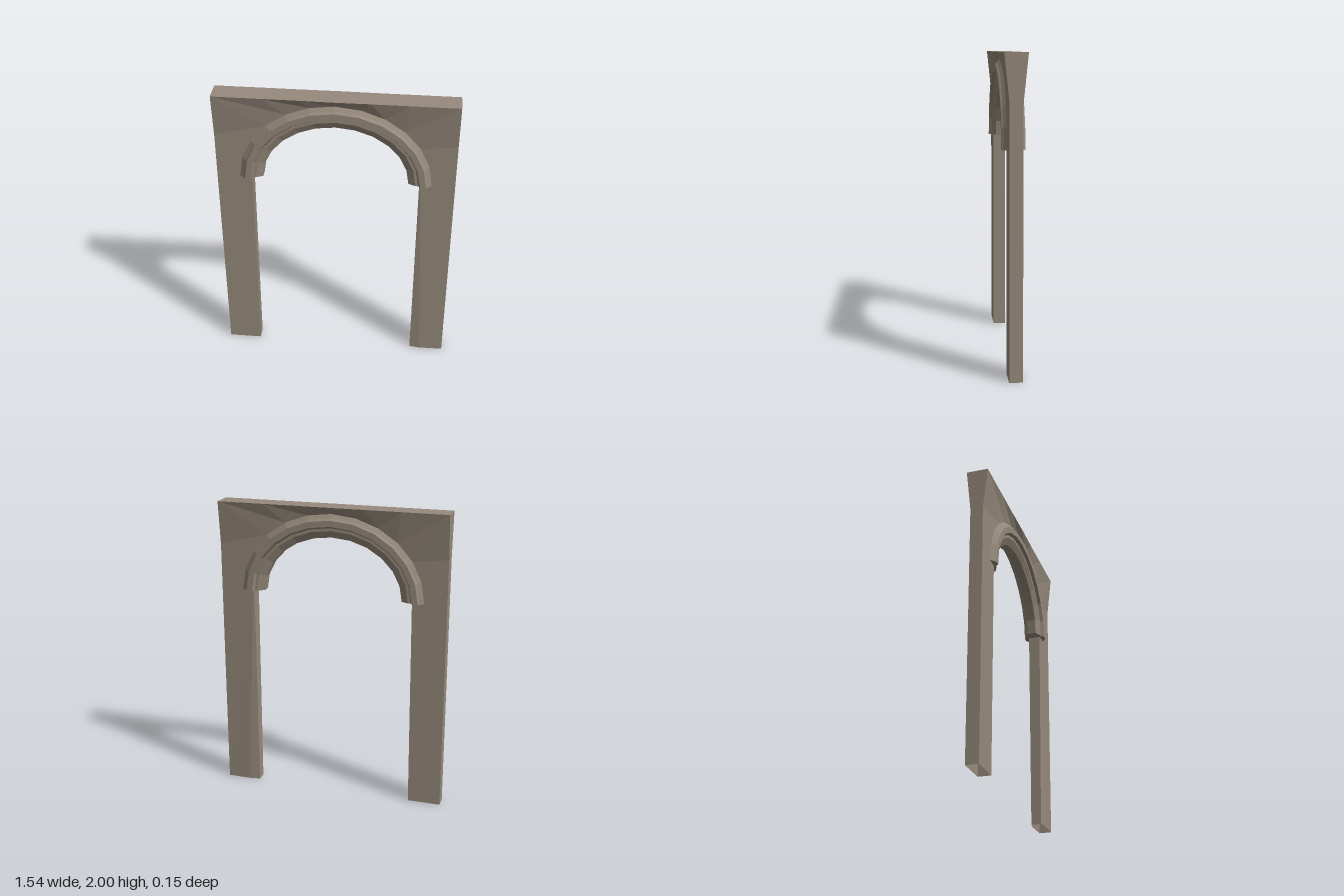
import * as THREE from 'three';

const stone = new THREE.MeshStandardMaterial({ color: 0x968a7c, flatShading: true, side: THREE.DoubleSide });
stone.name = 'weathered stone';

// Skin a list of closed cross-sections; optional caps pair front and back points
function loft(name, rows, capStart, capEnd) {
  const pos = [];
  const quad = (a, b, c, d) => [a, b, c, a, c, d].forEach(p => pos.push(...p));
  const n = rows[0].length;
  for (let i = 0; i < rows.length - 1; i++) {
    for (let j = 0; j < n; j++) {
      const k = (j + 1) % n;
      quad(rows[i][j], rows[i][k], rows[i + 1][k], rows[i + 1][j]);
    }
  }
  const cap = (r, flip) => {
    for (let j = 0; j < n / 2 - 1; j++) {
      const q = [r[j], r[j + 1], r[n - 2 - j], r[n - 1 - j]];
      quad(...(flip ? q.reverse() : q));
    }
  };
  if (capStart) cap(rows[0], true);
  if (capEnd) cap(rows[rows.length - 1], false);
  const geo = new THREE.BufferGeometry();
  geo.setAttribute('position', new THREE.Float32BufferAttribute(pos, 3));
  geo.computeVertexNormals();
  const mesh = new THREE.Mesh(geo, stone);
  mesh.name = name;
  return mesh;
}

// Front points followed by their mirror images on the back
const bothSides = front => [...front, ...front.map(([x, y, z]) => [x, y, -z]).reverse()];

const SPRING = 1.41;
const SEGMENTS = 12;

// Point on the arch: t = 0 at the opening, t = 1 at the outer edge
function archPoint(i, t, z) {
  const a = Math.PI * i / SEGMENTS;
  return [(0.47 + 0.15 * t) * Math.cos(a), SPRING + (0.39 + 0.155 * t) * Math.sin(a), z];
}

export function createModel() {
  const group = new THREE.Group();
  group.name = 'archway';
  const steps = Array.from({ length: SEGMENTS + 1 }, (_, i) => i);

  // Wall over the arch, flaring out to a thick top edge
  const half = [[0.77, SPRING, 0.042], [0.77, 1.55, 0.042], [0.77, 1.71, 0.042], [0.77, 2, 0.072],
    [0.46, 2, 0.072], [0.22, 2, 0.072], [0, 2, 0.074]];
  const border = [...half, ...half.slice(0, 6).reverse().map(([x, y, z]) => [-x, y, z])];
  group.add(loft('wall', steps.map(i => bothSides([archPoint(i, 1, 0.042), border[i]]))));

  // Stepped moulding around the opening
  const profile = [[0, 0.03], [0.3, 0.052], [0.42, 0.052], [0.5, 0.073], [0.76, 0.073], [0.84, 0.06], [1, 0.042]];
  group.add(loft('archMoulding',
    steps.map(i => bothSides(profile.map(([t, z]) => archPoint(i, t, z)))), true, true));

  // Legs, open underneath; the left one has a tapering chamfer on its inner edges
  const leg = (name, bottom, top) => group.add(loft(name,
    [[0, bottom], [SPRING, top]].map(([y, s]) => bothSides(s.map(([x, z]) => [x, y, z]))), false, true));
  leg('leftLeg', [[0.54, 0.034], [0.61, 0.044], [0.77, 0.042]], [[0.54, 0.04], [0.55, 0.042], [0.77, 0.042]]);
  leg('rightLeg', [[-0.77, 0.042], [-0.55, 0.042]], [[-0.77, 0.042], [-0.54, 0.042]]);

  return group;
}
